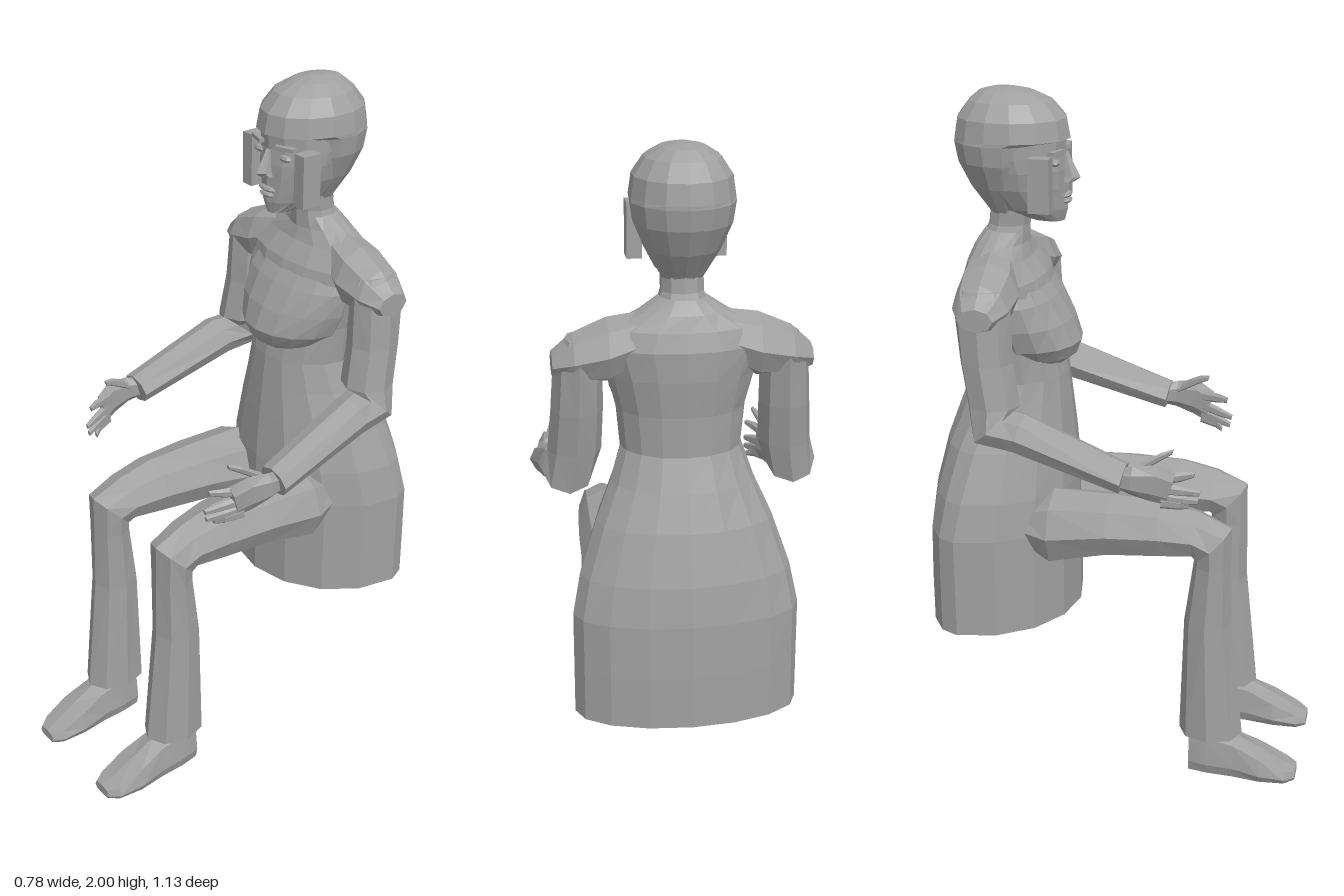
import * as THREE from 'three';

// Section: [x, y, z, halfWidth, frontRadius, tiltDegrees, backRadius]
// tilt 0 = horizontal section, tilt 90 = vertical section facing z
function loft(sections, sides = 8, { power = 1, side = 1, openStart = false } = {}) {
  const pos = [], idx = [];
  const bend = (v) => Math.sign(v) * Math.pow(Math.abs(v), power);
  for (const [x, y, z, w, f, tilt = 0, b = f] of sections) {
    const a = THREE.MathUtils.degToRad(tilt);
    for (let i = 0; i < sides; i++) {
      const t = (i / sides) * Math.PI * 2;
      const u = bend(Math.sin(t)) * w, c = bend(Math.cos(t)), v = c * (c > 0 ? f : b);
      pos.push(side * (x + u), y + Math.sin(a) * v, z + Math.cos(a) * v);
    }
  }
  const n = sections.length;
  for (let s = 0; s < n - 1; s++) {
    for (let i = 0; i < sides; i++) {
      const a = s * sides + i, b = s * sides + (i + 1) % sides;
      idx.push(a, b, b + sides, a, b + sides, a + sides);
    }
  }
  for (const s of openStart ? [n - 1] : [0, n - 1]) {
    for (let i = 1; i < sides - 1; i++) {
      const o = s * sides;
      idx.push(...(s ? [o, o + i, o + i + 1] : [o, o + i + 1, o + i]));
    }
  }
  // Turn the faces outward by the sign of the enclosed volume
  const p = (i) => new THREE.Vector3().fromArray(pos, i * 3);
  const origin = p(0);
  let volume = 0;
  for (let i = 0; i < idx.length; i += 3) {
    const [a, b, c] = [0, 1, 2].map((k) => p(idx[i + k]).sub(origin));
    volume += a.dot(b.cross(c));
  }
  if (volume < 0) idx.reverse();
  const g = new THREE.BufferGeometry();
  g.setAttribute('position', new THREE.Float32BufferAttribute(pos, 3));
  g.setIndex(idx);
  return g;
}

export function createModel() {
  const model = new THREE.Group();
  const grey = new THREE.MeshStandardMaterial({ color: 0xa0a0a0, side: THREE.DoubleSide, flatShading: true });
  grey.name = 'plain grey';

  const add = (name, geometry, parent = model) => {
    const flat = geometry.index ? geometry.toNonIndexed() : geometry;
    flat.computeVertexNormals();
    const mesh = new THREE.Mesh(flat, grey);
    mesh.name = name;
    parent.add(mesh);
    return mesh;
  };
  // Horizontal body section from width, front z, back z and the z of the widest point
  const row = (y, w, front, back, mid) => [0, y, mid, w, front - mid, 0, mid - back];

  // Dress: open skirt, waist, chest and neck base
  add('dress', loft([
    row(0.45, 0.31, -0.13, -0.565, -0.43),
    row(0.6, 0.31, -0.13, -0.565, -0.43),
    row(0.75, 0.31, -0.13, -0.56, -0.43),
    row(0.86, 0.288, -0.13, -0.545, -0.41),
    row(1.0, 0.24, -0.14, -0.51, -0.38),
    row(1.1, 0.195, -0.15, -0.475, -0.34),
    row(1.19, 0.165, -0.16, -0.44, -0.31),
    row(1.3, 0.175, -0.18, -0.44, -0.31),
    row(1.4, 0.2, -0.19, -0.45, -0.32),
    row(1.48, 0.23, -0.22, -0.45, -0.33),
    row(1.53, 0.2, -0.26, -0.435, -0.34),
    row(1.57, 0.12, -0.275, -0.42, -0.34),
    row(1.605, 0.065, -0.275, -0.395, -0.335),
  ], 16, { openStart: true }));
  add('bust', loft([
    row(1.215, 0.08, -0.175, -0.33, -0.27),
    row(1.245, 0.13, -0.135, -0.34, -0.27),
    row(1.285, 0.165, -0.12, -0.35, -0.27),
    row(1.35, 0.19, -0.145, -0.36, -0.28),
    row(1.42, 0.2, -0.185, -0.36, -0.29),
    row(1.5, 0.18, -0.245, -0.36, -0.31),
  ], 16));
  add('neck', loft([
    row(1.57, 0.075, -0.265, -0.41, -0.335),
    row(1.62, 0.058, -0.265, -0.385, -0.325),
    row(1.7, 0.058, -0.25, -0.375, -0.31),
  ], 10));

  // Head
  const head = new THREE.Group();
  head.name = 'head';
  model.add(head);
  add('face', loft([
    row(1.635, 0.03, -0.165, -0.26, -0.2),
    row(1.67, 0.068, -0.155, -0.37, -0.27),
    row(1.73, 0.1, -0.155, -0.42, -0.3),
    row(1.78, 0.113, -0.155, -0.45, -0.3),
    row(1.82, 0.12, -0.16, -0.46, -0.31),
    row(1.9, 0.12, -0.155, -0.46, -0.31),
    row(1.94, 0.1, -0.19, -0.44, -0.31),
  ], 14), head);
  add('hair', loft([
    row(1.655, 0.055, -0.28, -0.375, -0.33),
    row(1.73, 0.1, -0.25, -0.43, -0.33),
    row(1.8, 0.13, -0.23, -0.465, -0.33),
    row(1.855, 0.138, -0.21, -0.475, -0.33),
    row(1.865, 0.138, -0.145, -0.475, -0.32),
    row(1.92, 0.13, -0.155, -0.465, -0.32),
    row(1.965, 0.1, -0.195, -0.43, -0.32),
    row(1.99, 0.06, -0.25, -0.4, -0.325),
    row(2.0, 0.02, -0.3, -0.36, -0.33),
  ], 14), head);
  add('nose', loft([
    row(1.745, 0.022, -0.135, -0.18, -0.16),
    row(1.757, 0.018, -0.118, -0.18, -0.16),
    row(1.82, 0.008, -0.15, -0.18, -0.165),
  ], 6), head);
  for (const [y, w] of [[1.692, 0.03], [1.708, 0.036]]) {
    add('lip', new THREE.SphereGeometry(1, 8, 4).scale(w, 0.008, 0.012).translate(0, y, -0.156), head);
  }

  // Paired parts
  for (const side of [1, -1]) {
    const label = side > 0 ? 'left' : 'right';
    const limb = (name, sections, sides = 8, power = 1) =>
      add(label + name, loft(sections, sides, { side, power }));

    add(label + 'EarPlate', new THREE.BoxGeometry(0.04, 0.15, 0.06).translate(side * 0.113, 1.755, -0.205), head);
    add(label + 'Eye', new THREE.SphereGeometry(1, 8, 4).scale(0.024, 0.01, 0.012).translate(side * 0.055, 1.805, -0.174), head);
    add(label + 'Brow', new THREE.BoxGeometry(0.06, 0.01, 0.02).rotateY(side * 0.3).translate(side * 0.058, 1.835, -0.172), head);

    // Shoulder cap, running outward
    const shoulder = [
      [0.08, 1.575, 1.44, -0.28, -0.42],
      [0.2, 1.555, 1.38, -0.245, -0.425],
      [0.29, 1.515, 1.38, -0.25, -0.41],
      [0.345, 1.465, 1.4, -0.28, -0.38],
    ].map(([x, top, low, f, b]) => [0, (top + low) / 2, (f + b) / 2, (top - low) / 2, (f - b) / 2, x]);
    const cap = loft(shoulder.map(([, y, z, h, d, x]) => [y, x, z, h, d]), 8);
    cap.applyMatrix4(new THREE.Matrix4().set(0, side, 0, 0, 1, 0, 0, 0, 0, 0, 1, 0, 0, 0, 0, 1));
    if (side > 0) cap.index.array.reverse();
    add(label + 'Shoulder', cap);

    limb('Arm', [
      [0.27, 1.5, -0.33, 0.04, 0.06],
      [0.275, 1.45, -0.33, 0.065, 0.08],
      [0.28, 1.3, -0.32, 0.07, 0.075],
      [0.287, 1.18, -0.3, 0.073, 0.075],
      [0.305, 1.12, -0.3, 0.07, 0.075, 40],
      [0.315, 1.11, -0.22, 0.065, 0.058, 75],
      [0.335, 1.01, 0.075, 0.055, 0.043, 78],
    ]);
    limb('Palm', [
      [0.338, 1.01, 0.06, 0.026, 0.032, 85],
      [0.347, 1.01, 0.1, 0.022, 0.042, 85],
      [0.34, 1.005, 0.16, 0.018, 0.055, 80],
      [0.325, 0.985, 0.205, 0.014, 0.05, 75],
    ], 6);
    limb('Thumb', [
      [0.335, 1.035, 0.11, 0.015, 0.022, 65],
      [0.315, 1.07, 0.17, 0.012, 0.016, 70],
      [0.3, 1.085, 0.205, 0.006, 0.008, 80],
    ], 6);
    for (const [y0, y1, z1] of [[1.015, 1.02, 0.265], [0.985, 0.965, 0.28], [0.96, 0.94, 0.275], [0.945, 0.925, 0.25]]) {
      limb('Finger', [
        [0.33, y0, 0.18, 0.012, 0.018, 80],
        [0.312, (y0 + y1) / 2, 0.23, 0.011, 0.015, 80],
        [0.293, y1, z1, 0.007, 0.009, 80],
      ], 6);
    }

    limb('Leg', [
      [0.145, 0.765, -0.26, 0.08, 0.06, 90],
      [0.145, 0.76, -0.17, 0.115, 0.115, 90],
      [0.15, 0.782, 0, 0.105, 0.093, 90],
      [0.155, 0.785, 0.15, 0.09, 0.085, 90],
      [0.157, 0.778, 0.25, 0.077, 0.068, 85],
      [0.16, 0.752, 0.3, 0.07, 0.075, 45],
      [0.16, 0.69, 0.3, 0.065, 0.055],
      [0.161, 0.5, 0.29, 0.067, 0.07],
      [0.16, 0.135, 0.305, 0.076, 0.095],
    ]);
    limb('Shoe', [
      [0.16, 0.04, 0.245, 0.04, 0.1, 90, 0.04],
      [0.16, 0.04, 0.3, 0.052, 0.105, 90, 0.04],
      [0.16, 0.04, 0.38, 0.056, 0.09, 90, 0.04],
      [0.16, 0.03, 0.46, 0.066, 0.06, 90, 0.03],
      [0.158, 0.02, 0.535, 0.057, 0.03, 90, 0.02],
      [0.155, 0.018, 0.565, 0.035, 0.02, 90, 0.012],
    ], 8, 0.6);
  }
  return model;
}
